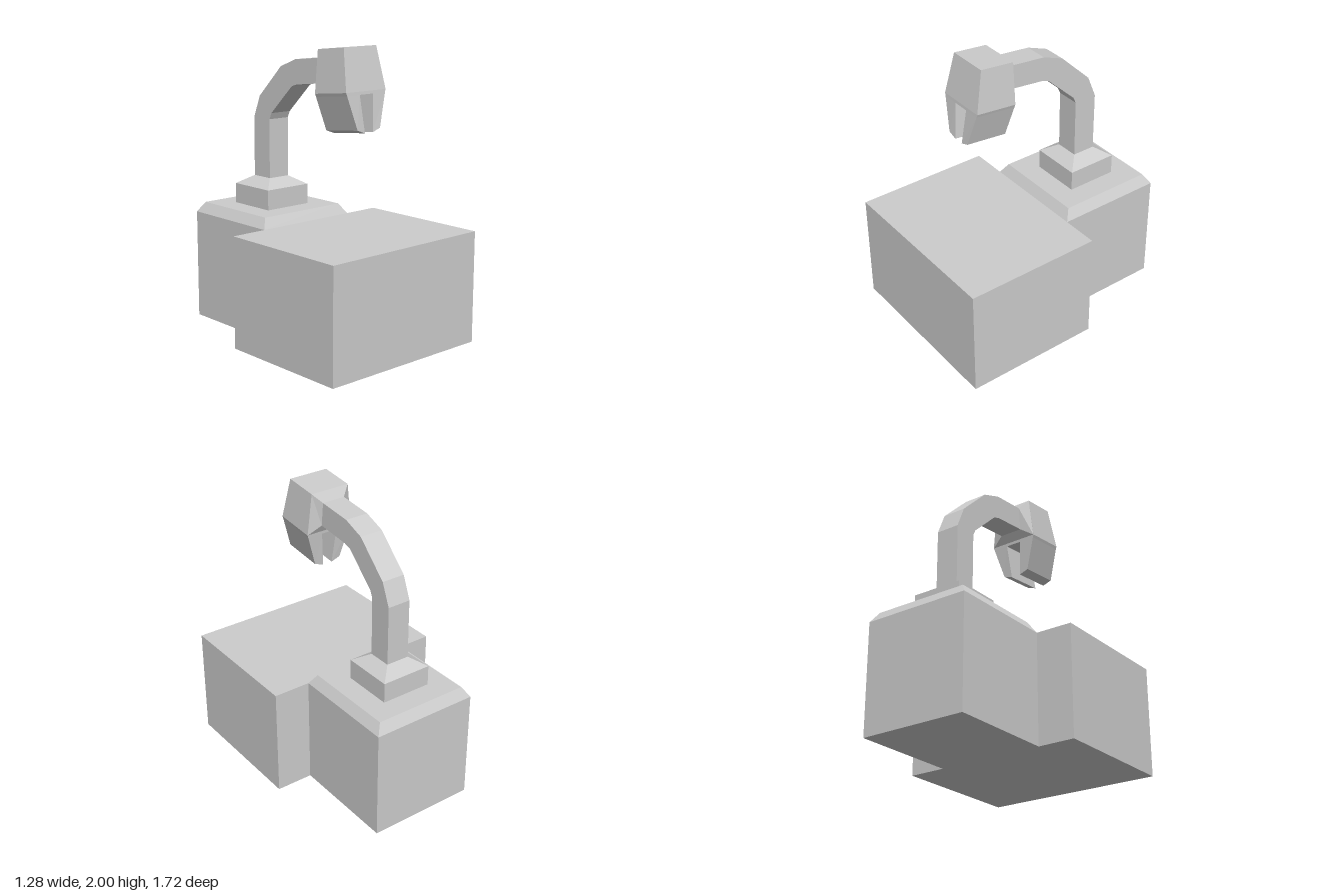
import * as THREE from 'three';

const material = new THREE.MeshStandardMaterial({ color: 0xcccccc, flatShading: true });

// Skins a closed, capped solid through four-cornered rings
// (counter-clockwise when seen from the far end).
function loft(name, rings) {
  const pos = [];
  const quad = (a, b, c, d) => pos.push(...a, ...b, ...c, ...a, ...c, ...d);
  for (let s = 0; s < rings.length - 1; s++) {
    for (let i = 0; i < 4; i++) {
      const j = (i + 1) % 4;
      quad(rings[s][i], rings[s][j], rings[s + 1][j], rings[s + 1][i]);
    }
  }
  quad(...[...rings[0]].reverse());
  quad(...rings[rings.length - 1]);
  const geo = new THREE.BufferGeometry();
  geo.setAttribute('position', new THREE.Float32BufferAttribute(pos, 3));
  geo.computeVertexNormals();
  const mesh = new THREE.Mesh(geo, material);
  mesh.name = name;
  return mesh;
}

// Symmetric ring from a front and a back point [z, y] and their half widths.
const ring = (w, [zf, yf], [zb, yb], wb = w) =>
  [[w, yf, zf], [wb, yb, zb], [-wb, yb, zb], [-w, yf, zf]];
// Horizontal ring at height y.
const level = (y, w, zf, zb) => ring(w, [zf, y], [zb, y]);

export function createModel() {
  const model = new THREE.Group();

  // Wide front block
  model.add(loft('frontBlock', [level(0, 0.64, 0.86, -0.1), level(0.77, 0.64, 0.86, -0.1)]));

  // Rear block with chamfered top
  model.add(loft('rearBlock', [
    level(0, 0.38, -0.1, -0.86),
    level(0.77, 0.38, -0.1, -0.86),
    level(0.84, 0.335, -0.145, -0.815),
  ]));

  // Stepped collar at the foot of the arm
  model.add(loft('collar', [
    level(0.83, 0.18, -0.3, -0.66),
    level(0.98, 0.18, -0.3, -0.66),
    level(1.04, 0.083, -0.398, -0.564),
  ]));

  // Curved square arm: inner and outer profile points
  const inner = [[-0.398, 1.03], [-0.396, 1.455], [-0.375, 1.5], [-0.16, 1.703], [-0.105, 1.72], [0.147, 1.748]];
  const outer = [[-0.564, 1.03], [-0.564, 1.455], [-0.5, 1.61], [-0.272, 1.83], [-0.12, 1.888], [0.13, 1.913]];
  model.add(loft('arm', inner.map((p, i) => ring(0.083, p, outer[i]))));

  // Flared neck joining the arm to the head
  model.add(loft('neck', [
    ring(0.083, inner[5], outer[5]),
    ring(0.173, [0.178, 1.69], [0.17, 1.975], 0.143),
  ]));

  // Head, slightly tilted, widest at its middle
  const head = new THREE.Group();
  head.name = 'head';
  head.add(loft('headBlock', [
    ring(0.168, [0.472, 1.7], [0.18, 1.67]),
    ring(0.175, [0.47, 1.72], [0.178, 1.69]),
    ring(0.143, [0.412, 2.0], [0.17, 1.975]),
  ]));

  // Two tapered prongs with an open slot between them
  for (const side of [1, -1]) {
    const prong = (xo, xi, zf, zb, yof, yob, yif, yib) => {
      const r = [[xo, yof, zf], [xo, yob, zb], [xi, yib, zb], [xi, yif, zf]]
        .map(([x, y, z]) => [side * x, y, z]);
      return side > 0 ? r : r.reverse();
    };
    head.add(loft(side > 0 ? 'leftProng' : 'rightProng', [
      prong(0.1, 0.035, 0.498, 0.205, 1.478, 1.448, 1.455, 1.425),
      prong(0.168, 0.058, 0.472, 0.18, 1.7, 1.67, 1.7, 1.67),
    ]));
  }
  model.add(head);
  return model;
}
